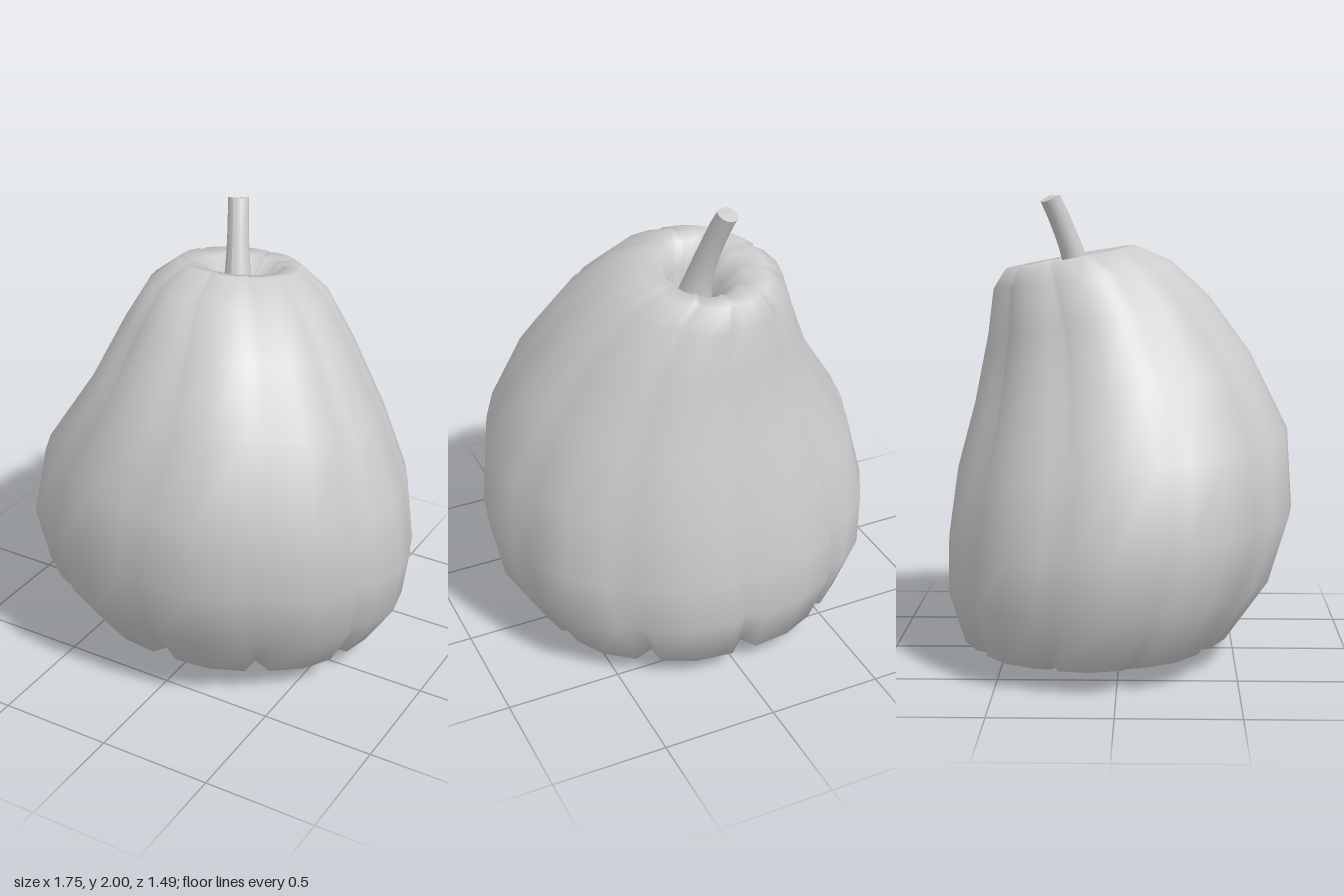
import * as THREE from 'three';

const RIBS = 10;
// Cross-section of one rib: [fraction of the rib's angle, relative radius]; the first point is the groove
const RIB = [[0, null], [0.13, 0.985], [0.5, 1.0], [0.87, 0.985]];

// Leaning, tilted rings from bottom to bowl:
// [x right, x left, z front, z back, y front, y back, groove radius]
const RINGS = [
  [-0.50, 0.45, 0.26, -0.52, 0.035, 0.03, 0.9],
  [-0.73, 0.68, 0.485, -0.69, 0.11, 0.09, 0.91],
  [-0.86, 0.83, 0.67, -0.76, 0.37, 0.31, 0.93],
  [-0.88, 0.875, 0.76, -0.76, 0.66, 0.53, 0.935],
  [-0.80, 0.84, 0.74, -0.72, 1.0, 0.82, 0.935],
  [-0.60, 0.70, 0.58, -0.645, 1.32, 1.1, 0.935],
  [-0.48, 0.52, 0.395, -0.58, 1.57, 1.4, 0.93],
  [-0.40, 0.36, 0.23, -0.55, 1.72, 1.6, 0.92],
  [-0.30, 0.22, 0.07, -0.495, 1.79, 1.685, 0.9],
  [-0.20, 0.14, -0.01, -0.40, 1.765, 1.69, 0.92],
  [-0.13, 0.09, -0.05, -0.30, 1.66, 1.61, 0.95],
  [-0.09, 0.06, -0.07, -0.22, 1.52, 1.5, 1],
];

function ringPoints([xa, xb, zf, zb, yf, yb, groove], lift) {
  const points = [];
  for (let i = 0; i < RIBS; i++) {
    for (const [t, radius] of RIB) {
      const a = ((i + t) / RIBS) * Math.PI * 2;
      const r = radius ?? groove;
      const s = Math.sin(a) * r, c = Math.cos(a) * r;
      points.push(
        (xa + xb) / 2 + ((xb - xa) / 2) * s,
        (yf + yb) / 2 + ((yf - yb) / 2) * c + (radius === null ? lift : 0),
        (zf + zb) / 2 + ((zf - zb) / 2) * c,
      );
    }
  }
  return points;
}

// Smooth skin through a list of rings with the same number of points
function loft(rings) {
  const n = rings[0].length / 3;
  const index = [];
  for (let j = 0; j < rings.length - 1; j++) {
    for (let i = 0; i < n; i++) {
      const k = (i + 1) % n;
      const a = j * n + i, b = j * n + k, c = a + n, d = b + n;
      index.push(a, b, d, a, d, c);
    }
  }
  const geometry = new THREE.BufferGeometry();
  geometry.setAttribute('position', new THREE.Float32BufferAttribute(rings.flat(), 3));
  geometry.setIndex(index);
  geometry.computeVertexNormals();
  return geometry;
}

// Fan from a centre point down to a ring, facing down
function underside(center, ring) {
  const n = ring.length / 3;
  const index = [];
  for (let i = 0; i < n; i++) index.push(0, 1 + ((i + 1) % n), 1 + i);
  const geometry = new THREE.BufferGeometry();
  geometry.setAttribute('position', new THREE.Float32BufferAttribute([...center, ...ring], 3));
  geometry.setIndex(index);
  geometry.computeVertexNormals();
  return geometry;
}

// Curved stalk, flared at the foot: a cylinder bent along a curve
function stalk() {
  const path = new THREE.QuadraticBezierCurve3(
    new THREE.Vector3(-0.015, 1.5, -0.145),
    new THREE.Vector3(-0.03, 1.7, -0.165),
    new THREE.Vector3(-0.1, 1.99, -0.293),
  );
  const geometry = new THREE.CylinderGeometry(1, 1, 1, 16, 8);
  const pos = geometry.attributes.position;
  const up = new THREE.Vector3(0, 1, 0);
  const p = new THREE.Vector3(), q = new THREE.Quaternion();
  for (let i = 0; i < pos.count; i++) {
    const t = THREE.MathUtils.clamp(pos.getY(i) + 0.5, 0, 1);
    const r = 0.045 + 0.05 * (1 - t) ** 2.5;
    q.setFromUnitVectors(up, path.getTangent(t));
    p.set(pos.getX(i) * r, 0, pos.getZ(i) * r).applyQuaternion(q).add(path.getPoint(t));
    pos.setXYZ(i, p.x, Math.min(p.y, 2), p.z);
  }
  geometry.computeVertexNormals();
  return geometry;
}

export function createModel() {
  const model = new THREE.Group();
  model.name = 'pumpkin';
  const material = new THREE.MeshStandardMaterial({ color: 0xcccccc });
  const add = (name, geometry) => {
    const mesh = new THREE.Mesh(geometry, material);
    mesh.name = name;
    model.add(mesh);
  };

  const rings = RINGS.map((ring, j) => ringPoints(ring, j < 2 ? 0.025 : 0));
  add('ribbedBody', loft(rings));
  add('underside', underside([-0.02, 0, -0.13], rings[0]));
  add('stem', stalk());
  return model;
}
